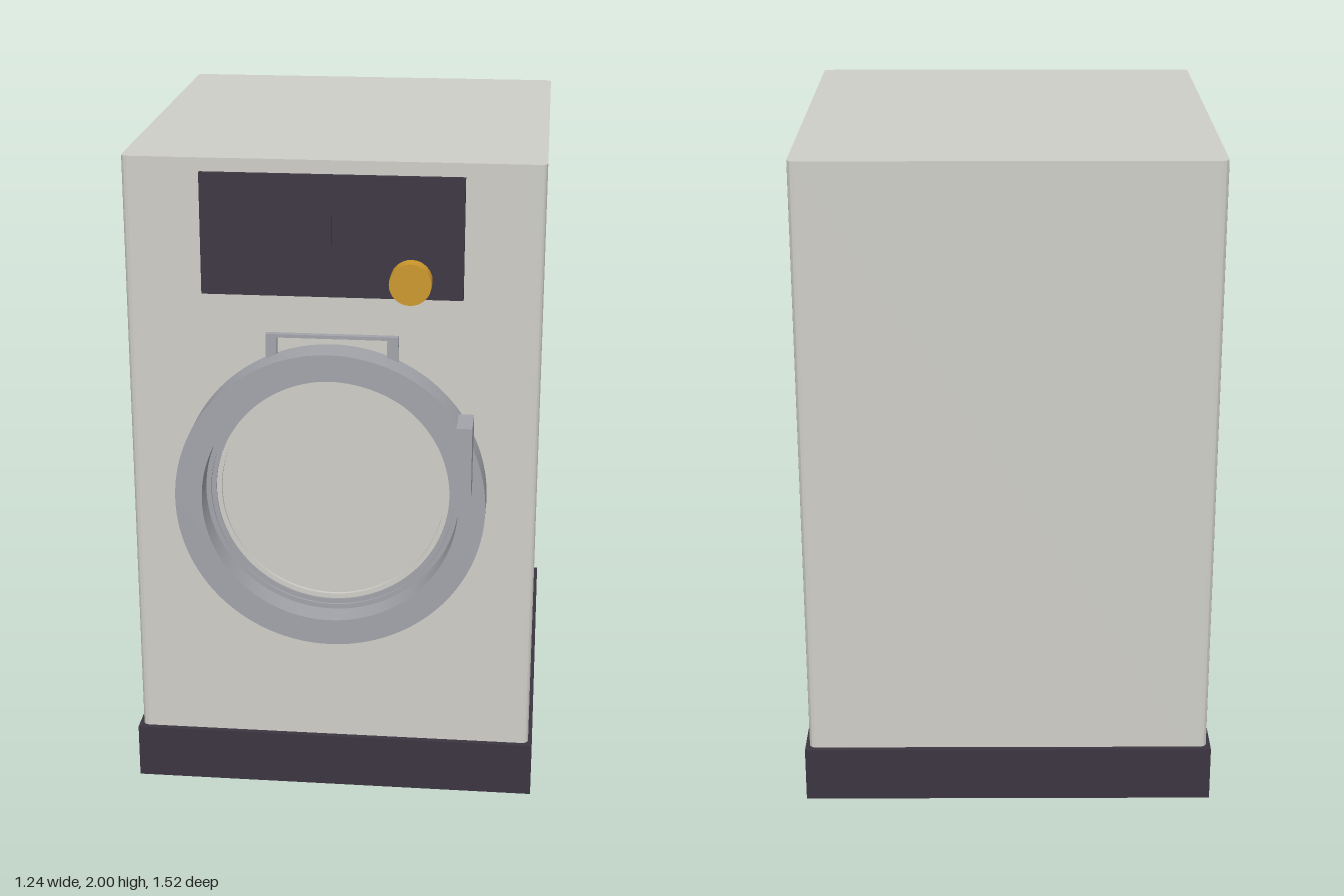
import * as THREE from 'three';
import { toCreasedNormals } from 'three/addons/utils/BufferGeometryUtils.js';

const paint = (name, color) => {
  const m = new THREE.MeshStandardMaterial({ color });
  m.name = name;
  return m;
};

export function createModel() {
  const casing = paint('casing grey', 0xcfcec8);
  const dark = paint('dark plum', 0x3c3541);
  const steel = paint('steel grey', 0xa2a4aa);
  const amber = paint('amber', 0xcc982b);

  const model = new THREE.Group();
  model.name = 'washingMachine';

  const add = (name, geometry, material, parent = model) => {
    const mesh = new THREE.Mesh(geometry, material);
    mesh.name = name;
    parent.add(mesh);
    return mesh;
  };
  // Box given by its low and high limits on each axis
  const box = (name, [x0, x1], [y0, y1], [z0, z1], material, parent) => {
    const mesh = add(name, new THREE.BoxGeometry(x1 - x0, y1 - y0, z1 - z0), material, parent);
    mesh.position.set((x0 + x1) / 2, (y0 + y1) / 2, (z0 + z1) / 2);
    return mesh;
  };
  // Flat ring facing the front, with a straight bore
  const ring = (name, outer, inner, z0, z1, material, parent) => {
    const shape = new THREE.Shape().absarc(0, 0, outer, 0, Math.PI * 2);
    shape.holes.push(new THREE.Path().absarc(0, 0, inner, 0, Math.PI * 2, true));
    const geometry = new THREE.ExtrudeGeometry(shape, { depth: z1 - z0, bevelEnabled: false, curveSegments: 72 });
    const mesh = add(name, toCreasedNormals(geometry, 0.6), material, parent);
    mesh.position.z = z0;
    return mesh;
  };

  // Plinth
  box('plinth', [-0.62, 0.62], [0, 0.17], [-0.76, 0.585], dark);

  // Cabinet with rounded upright edges and a sharp top
  const w = 0.608, back = 0.743, front = 0.568, r = 0.02;
  const outline = new THREE.Shape();
  outline.absarc(w - r, back - r, r, 0, Math.PI / 2);
  outline.absarc(-w + r, back - r, r, Math.PI / 2, Math.PI);
  outline.absarc(-w + r, -front + r, r, Math.PI, Math.PI * 1.5);
  outline.absarc(w - r, -front + r, r, Math.PI * 1.5, Math.PI * 2);
  outline.closePath();
  const cabinet = add('cabinet', toCreasedNormals(
    new THREE.ExtrudeGeometry(outline, { depth: 1.9, bevelEnabled: false, curveSegments: 6 }), 0.6), casing);
  cabinet.rotation.x = -Math.PI / 2;
  cabinet.position.y = 0.1;

  // Control panel, display and dial
  box('controlPanel', [-0.38, 0.38], [1.603, 1.96], [0.56, 0.586], dark);
  box('display', [-0.32, 0], [1.7, 1.862], [0.584, 0.589], dark);
  const dial = add('dial', new THREE.CylinderGeometry(0.061, 0.061, 0.05, 32), amber);
  dial.rotation.x = Math.PI / 2;
  dial.position.set(0.23, 1.66, 0.611);

  // Round door: outer ring, stepped lip and pale seal
  const door = new THREE.Group();
  door.name = 'door';
  door.position.y = 0.995;
  model.add(door);
  ring('doorRing', 0.46, 0.38, 0.56, 0.672, steel, door);
  ring('doorLip', 0.381, 0.365, 0.56, 0.59, steel, door);
  ring('doorInnerLip', 0.366, 0.35, 0.56, 0.583, steel, door);
  ring('doorSeal', 0.351, 0.335, 0.56, 0.578, casing, door);

  // Door handle
  box('doorHandle', [0.375, 0.42], [1.062, 1.277], [0.638, 0.76], steel);

  // Bracket above the door
  const bracket = new THREE.Group();
  bracket.name = 'doorBracket';
  model.add(bracket);
  for (const side of [-1, 1]) {
    const leg = box('bracketLeg', [-0.016, 0.016], [1.41, 1.487], [0.56, 0.588], steel, bracket);
    leg.position.x = side * 0.178;
  }
  box('bracketBar', [-0.165, 0.165], [1.477, 1.487], [0.56, 0.588], steel, bracket);

  return model;
}
